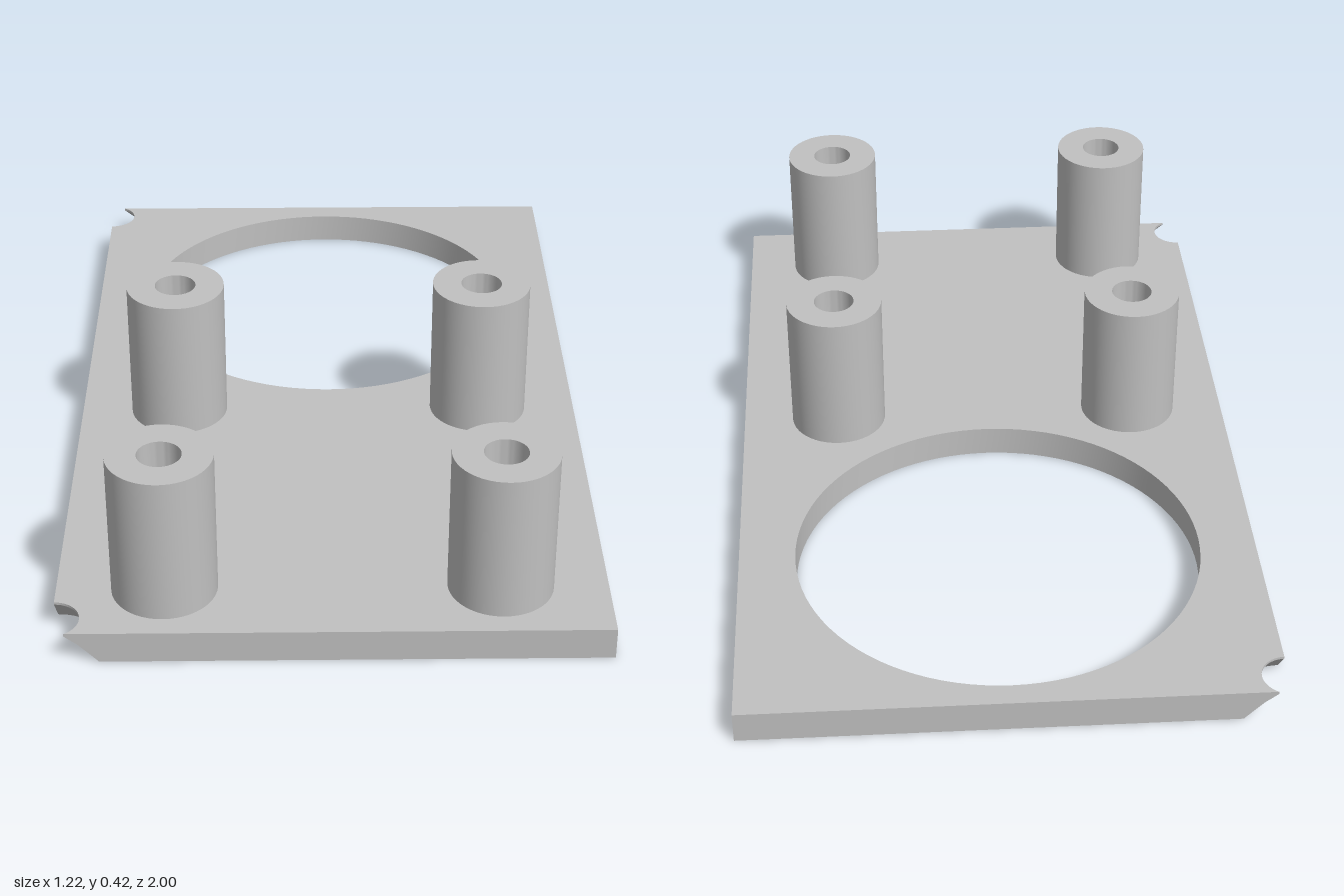
import * as THREE from 'three';
import { mergeGeometries, toCreasedNormals } from 'three/addons/utils/BufferGeometryUtils.js';

const W = 0.609, D = 1, T = 0.075;            // plate half width, half depth, thickness
const NOTCH_Z = 0.948;                        // screw notch centres, on the x = -W edge
const HOLE = { z: -0.466, r: 0.477 };

const arc = (cx, cz, r, a0, a1, n) => Array.from({ length: n + 1 }, (_, i) => {
  const a = a0 + (a1 - a0) * i / n;
  return [cx + r * Math.cos(a), cz + r * Math.sin(a)];
});

// Plate outline [x, z] with two corner notches of radius r
function outline(r) {
  const a = Math.asin((D - NOTCH_Z) / r);
  return [
    [W, D], [W, -D],
    ...arc(-W, -NOTCH_Z, r, -a, Math.PI / 2, 20),
    ...arc(-W, NOTCH_Z, r, -Math.PI / 2, a, 20),
  ];
}

// Side wall joining equal-length loops stacked at the given heights
function wall(levels) {
  const pos = [];
  for (let k = 0; k + 1 < levels.length; k++) {
    const [lo, hi] = [levels[k], levels[k + 1]];
    const n = lo.pts.length;
    for (let i = 0; i < n; i++) {
      const j = (i + 1) % n;
      const at = (l, m) => [l.pts[m][0], l.y, l.pts[m][1]];
      const [a, b, c, d] = [at(lo, i), at(lo, j), at(hi, j), at(hi, i)];
      pos.push(...a, ...b, ...c, ...a, ...c, ...d);
    }
  }
  return new THREE.BufferGeometry().setAttribute('position', new THREE.Float32BufferAttribute(pos, 3));
}

// Flat face at height y, facing up (dir = 1) or down (dir = -1)
function cap(pts, hole, y, dir) {
  const vec = (list) => list.map(([x, z]) => new THREE.Vector2(x, -dir * z));
  const shape = new THREE.Shape(vec(pts));
  shape.holes.push(new THREE.Path(vec(hole)));
  const g = new THREE.ShapeGeometry(shape).rotateX(-dir * Math.PI / 2).translate(0, y, 0).toNonIndexed();
  g.deleteAttribute('uv');
  g.deleteAttribute('normal');
  return g;
}

function plateGeometry() {
  // Notches are countersunk from below, with a short straight lip at the top
  const levels = [[0, 0.116], [0.023, 0.097], [0.046, 0.079], [0.069, 0.06], [T, 0.06]]
    .map(([y, r]) => ({ y, pts: outline(r) }));
  const ring = arc(0, HOLE.z, HOLE.r, 0, Math.PI * 2, 96).slice(0, -1);
  return toCreasedNormals(mergeGeometries([
    wall(levels),
    wall([{ y: 0, pts: ring }, { y: T, pts: ring }]),
    cap(levels[0].pts, ring, 0, -1),
    cap(levels[4].pts, ring, T, 1),
  ]), 0.45);
}

// Hollow standoff with a blind bore
function postGeometry() {
  const profile = [[0.1175, T], [0.1175, 0.423], [0.049, 0.423], [0.049, T + 0.001], [0, T + 0.001]]
    .map(([x, y]) => new THREE.Vector2(x, y));
  return toCreasedNormals(new THREE.LatheGeometry(profile, 48), 0.6);
}

export function createModel() {
  const model = new THREE.Group();
  model.name = 'mountingPlate';
  const grey = new THREE.MeshStandardMaterial({ color: 0xc0c0c0 });
  grey.name = 'light grey';

  const plate = new THREE.Mesh(plateGeometry(), grey);
  plate.name = 'basePlate';
  model.add(plate);

  // Four standoffs
  const post = postGeometry();
  for (const [row, z] of [['front', 0.833], ['middle', 0.092]]) {
    for (const [side, x] of [['Left', 0.37], ['Right', -0.37]]) {
      const mesh = new THREE.Mesh(post, grey);
      mesh.name = `${row}${side}Post`;
      mesh.position.set(x, 0, z);
      model.add(mesh);
    }
  }
  return model;
}
